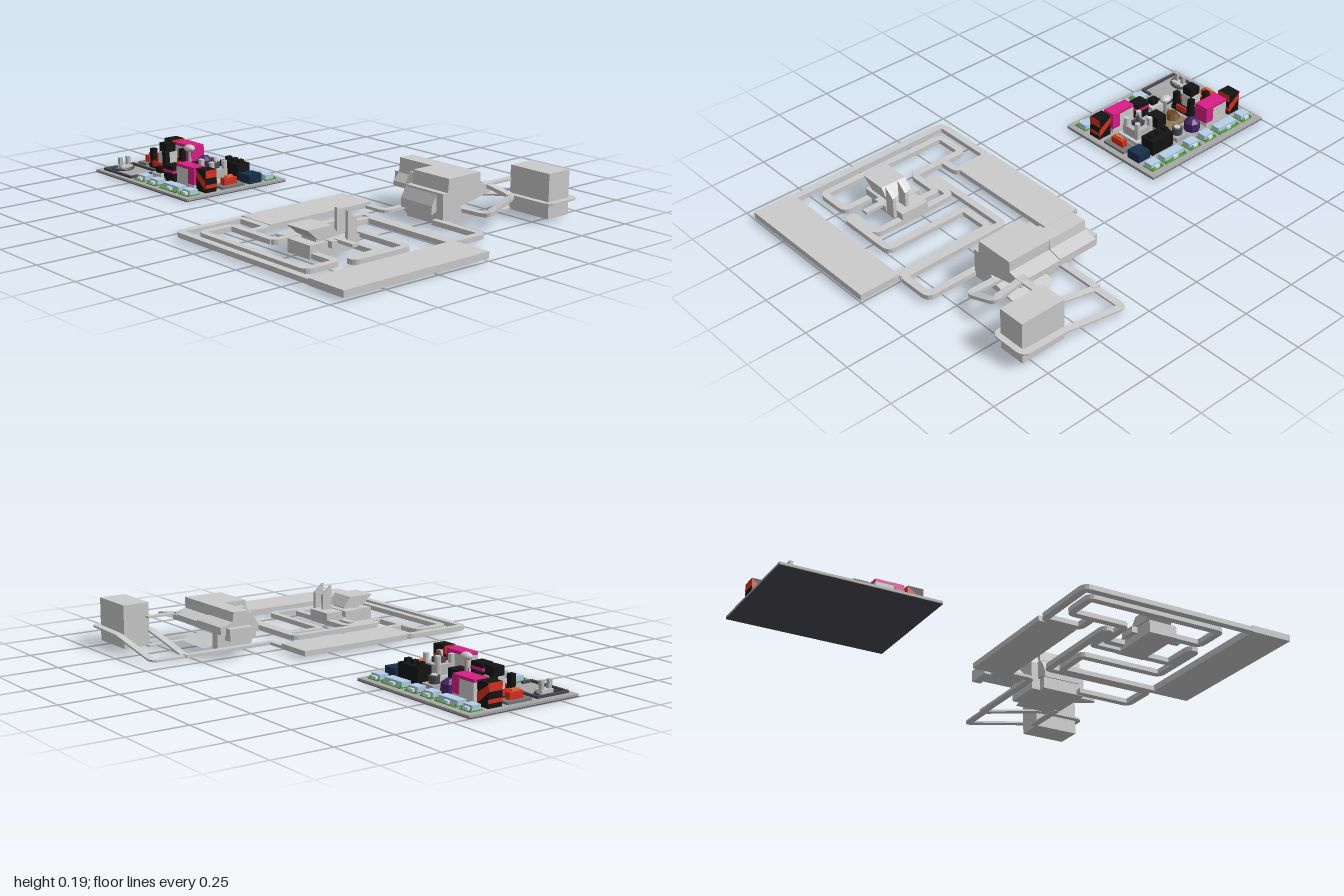
import * as THREE from 'three';

const mats = {};
const mat = (c = 0xcccccc) => (mats[c] ??= new THREE.MeshStandardMaterial({ color: c, flatShading: true, side: THREE.DoubleSide }));
const BLACK = 0x141414, RED = 0xd8301f, PINK = 0xd81f86, PURPLE = 0x4b2468, BLUE = 0xb4d0e8, GREEN = 0x4f9a3a, NAVY = 0x16304a, BROWN = 0x6b431f, DARK = 0x4a4a52;

export function createModel() {
  const model = new THREE.Group();
  const group = (name, parent = model) => {
    const g = new THREE.Group();
    g.name = name;
    parent.add(g);
    return g;
  };
  const add = (parent, name, geo, color) => {
    const m = new THREE.Mesh(geo, mat(color));
    m.name = name;
    parent.add(m);
    return m;
  };
  // box given by its limits
  const box = (p, name, x0, x1, y0, y1, z0, z1, color) => {
    const m = add(p, name, new THREE.BoxGeometry(x1 - x0, y1 - y0, z1 - z0), color);
    m.position.set((x0 + x1) / 2, (y0 + y1) / 2, (z0 + z1) / 2);
    return m;
  };
  const cyl = (p, name, x, y0, y1, z, r0, r1, n, color) => {
    const m = add(p, name, new THREE.CylinderGeometry(r1, r0, y1 - y0, n), color);
    m.position.set(x, (y0 + y1) / 2, z);
    return m;
  };
  // side profile of [z, y] points, extruded from x0 to x1
  const slab = (p, name, x0, x1, pts, color) => {
    const s = new THREE.Shape(pts.map(([z, y]) => new THREE.Vector2(-z, y)));
    const g = new THREE.ExtrudeGeometry(s, { depth: x1 - x0, bevelEnabled: false });
    g.rotateY(Math.PI / 2);
    g.translate(x0, 0, 0);
    return add(p, name, g, color);
  };
  // flat strip along [x, z, y] corners with rounded turns
  const track = (p, name, pts, thick = 0.02, w = 0.03) => {
    const v = pts.map(([x, z, y = 0.012]) => new THREE.Vector3(x, y, z));
    const line = [v[0]];
    for (let i = 1; i < v.length - 1; i++) {
      const towards = (q) => v[i].clone().add(q.clone().sub(v[i]).setLength(Math.min(0.022, q.distanceTo(v[i]) * 0.49)));
      line.push(...new THREE.QuadraticBezierCurve3(towards(v[i - 1]), v[i], towards(v[i + 1])).getPoints(4));
    }
    line.push(v[v.length - 1]);
    const pos = [], idx = [];
    line.forEach((c, i) => {
      const d = line[Math.min(i + 1, line.length - 1)].clone().sub(line[Math.max(i - 1, 0)]).setY(0).normalize();
      for (const [s, h] of [[1, 0], [1, 1], [-1, 1], [-1, 0]]) pos.push(c.x + d.z * s * w / 2, c.y + h * thick, c.z - d.x * s * w / 2);
      if (i) for (let k = 0; k < 4; k++) {
        const a = 4 * i - 4 + k, b = 4 * i - 4 + (k + 1) % 4;
        idx.push(a, b, a + 4, b, b + 4, a + 4);
      }
    });
    const e = pos.length / 3 - 4;
    idx.push(0, 2, 1, 0, 3, 2, e, e + 1, e + 2, e, e + 2, e + 3);
    const g = new THREE.BufferGeometry();
    g.setAttribute('position', new THREE.Float32BufferAttribute(pos, 3));
    g.setIndex(idx);
    g.computeVertexNormals();
    return add(p, name, g);
  };

  // ---- station platforms and tracks
  const net = group('trackNetwork');
  box(net, 'leftPlatform', 0.05, 0.22, 0.012, 0.034, -0.145, 0.37);
  box(net, 'rightPlatform', 0.82, 1, 0.01, 0.037, 0, 0.69);
  track(net, 'outerTrack', [[0.37, 0.475], [0.225, 0.475], [0.225, 0.385], [0.065, 0.385], [0.065, 0.675], [0.82, 0.675]]);
  track(net, 'innerTrack', [[0.46, 0.33], [0.375, 0.33], [0.375, 0.475], [0.125, 0.475], [0.125, 0.615], [0.72, 0.615], [0.72, 0.475], [0.6, 0.475]]);
  track(net, 'upperTrack', [[0.56, -0.16], [0.81, -0.16], [0.81, -0.012], [0.322, -0.012], [0.322, 0.41], [0.352, 0.41], [0.352, 0.275], [0.48, 0.275]]);
  track(net, 'middleTrack', [[0.82, 0.008], [0.375, 0.008], [0.375, 0.16], [0.748, 0.16], [0.748, 0.415], [0.72, 0.415], [0.72, 0.275], [0.6, 0.275]]);
  track(net, 'rearLink', [[0.22, -0.13], [0.315, -0.13], [0.315, -0.54]], 0.012);
  track(net, 'rearRing', [[0.45, -0.535, 0.04], [0.6, -0.535, 0.07], [0.8, -0.535, 0.07], [0.8, -0.68, 0.07], [0.6, -0.68, 0.065],
    [0.32, -0.68, 0.012], [0.32, -0.535, 0.012], [0.45, -0.535, 0.04]], 0.008);
  track(net, 'highTrack', [[0.58, -0.4, 0.128], [0.58, -0.56, 0.128]], 0.008);
  track(net, 'lowTrack', [[0.58, -0.36, 0.01], [0.58, -0.56, 0.01]], 0.006);
  track(net, 'sideLoop', [[0.56, -0.42, 0.125], [0.715, -0.42, 0.1], [0.715, -0.285, 0.05], [0.56, -0.285, 0.045]], 0.015);
  box(net, 'rearBuilding', 0.59, 0.79, 0.01, 0.19, -0.66, -0.545);

  // ---- large terminal with a raised wing
  const term = group('terminal');
  slab(term, 'mainHall', 0.4, 0.595, [[-0.17, 0.01], [-0.4, 0.012], [-0.29, 0.038], [-0.262, 0.07], [-0.43, 0.105], [-0.43, 0.13],
    [-0.37, 0.145], [-0.37, 0.19], [-0.2, 0.19], [-0.195, 0.135], [-0.17, 0.135]]);
  slab(term, 'frontCanopy', 0.39, 0.56, [[-0.17, 0.06], [-0.145, 0.05], [-0.145, 0.085], [-0.175, 0.135], [-0.2, 0.135], [-0.2, 0.06]]);
  slab(term, 'wing', 0.22, 0.4, [[-0.43, 0.105], [-0.43, 0.135], [-0.375, 0.15], [-0.37, 0.19], [-0.3, 0.19], [-0.295, 0.13], [-0.265, 0.1], [-0.265, 0.08], [-0.3, 0.075]]);
  box(term, 'wingEnd', 0.19, 0.23, 0.08, 0.13, -0.405, -0.3);
  slab(term, 'hallShoulder', 0.36, 0.4, [[-0.2, 0.01], [-0.36, 0.01], [-0.36, 0.17], [-0.22, 0.17], [-0.2, 0.13]]);

  // ---- small central station
  const hub = group('centralStation');
  box(hub, 'stationBase', 0.475, 0.6, 0.01, 0.062, 0.26, 0.495);
  box(hub, 'stationDeck', 0.45, 0.62, 0.04, 0.065, 0.34, 0.41);
  slab(hub, 'slantedRoof', 0.482, 0.598, [[0.505, 0.118], [0.39, 0.118], [0.355, 0.075], [0.455, 0.075]]);
  box(hub, 'roofCore', 0.5, 0.58, 0.06, 0.08, 0.37, 0.45);
  box(hub, 'sideArm', 0.6, 0.7, 0.055, 0.068, 0.357, 0.383);
  for (const x of [0.545, 0.605]) slab(hub, 'fin', x, x + 0.015, [[0.333, 0.165], [0.29, 0.128], [0.29, 0.035], [0.333, 0.035]]);

  // ---- city block on its plate
  const city = group('city');
  box(city, 'plate', -1, -0.345, 0.003, 0.012, -0.175, 0.34, 0xa8a8a8);
  box(city, 'plateUnderside', -1, -0.345, 0, 0.003, -0.175, 0.34, DARK);
  const cols = [[-0.97, -0.91], [-0.89, -0.77], [-0.75, -0.685], [-0.66, -0.595], [-0.57, -0.45], [-0.435, -0.37]];
  const rows = [[-0.147, -0.09], [-0.065, 0], [0.025, 0.14], [0.17, 0.225], [0.255, 0.318]];
  const y0 = 0.012;
  const lot = (name, c, r, h, color, inset = 0) =>
    box(city, name, cols[c][0] + inset, cols[c][1] - inset, y0, h, rows[r][0] + inset, rows[r][1] - inset, color);

  // low houses with lawns, front and back rows
  for (const r of [0, 4]) cols.forEach(([a, b], c) => {
    if (r === 4 && c < 2) return;
    const [z0, z1] = rows[r], s = r ? 1 : -1, zm = (z0 + z1) / 2;
    lot('lawn', c, r, 0.015, GREEN);
    box(city, 'house', a + 0.006, b - 0.006, y0, 0.034, Math.min(zm + s * 0.014, zm - s * 0.026), Math.max(zm + s * 0.014, zm - s * 0.026), BLUE);
    box(city, 'housePorch', (a + b) / 2 - 0.012, (a + b) / 2 + 0.012, y0, 0.026, z0 + 0.003, z1 - 0.003, 0xd5e2ee);
    for (const x of [a + 0.006, b - 0.006]) cyl(city, 'shrub', x, y0, 0.024, zm + s * 0.021, 0.006, 0.002, 6, GREEN);
  });

  // striped towers
  for (const [c, r] of [[0, 1], [5, 3]]) {
    const [a, b] = cols[c], [z0, z1] = rows[r];
    lot('stripedTower', c, r, 0.105, BLACK);
    for (const z of [z0 - 0.001, z1 + 0.001]) {
      const s = new THREE.Shape([[a, 0.1], [a, 0.07], [b, 0.02], [b, 0.06]].map((q) => new THREE.Vector2(...q)));
      add(city, 'diagonalStripe', new THREE.ShapeGeometry(s), RED).position.z = z;
    }
    for (const x of [a, b]) {
      box(city, 'sideStripe', x - 0.001, x + 0.001, 0.073, 0.105, z0, z1, RED);
      box(city, 'sideStripe', x - 0.001, x + 0.001, 0.03, 0.045, z0, z1, RED);
    }
  }
  // pink-roofed blocks
  for (const [c, r] of [[1, 1], [4, 3]]) {
    lot('pinkBlock', c, r, 0.09, 0xbcbcbc);
    box(city, 'pinkRoof', ...cols[c], 0.09, 0.102, ...rows[r], PINK);
    box(city, 'pinkSide', cols[c][0] + 0.08, cols[c][1] + 0.001, 0.03, 0.09, rows[r][0] - 0.001, rows[r][1] + 0.001, PINK);
  }
  // dark blocks
  lot('darkBlock', 4, 1, 0.08, BLACK);
  for (const x of [-0.55, -0.51, -0.47]) box(city, 'roofVent', x - 0.01, x + 0.01, 0.08, 0.095, -0.045, -0.02, BLACK);
  lot('navyBlock', 5, 1, 0.05, NAVY);
  lot('blackShop', 3, 3, 0.08, BLACK);
  box(city, 'shopBand', -0.662, -0.593, 0.05, 0.062, 0.168, 0.227, PINK);
  lot('kioskBase', 2, 3, 0.03, 0xd0d0d0);
  box(city, 'kioskTop', -0.735, -0.7, 0.03, 0.055, 0.185, 0.215, BLACK);
  // octagonal hall and round tank
  cyl(city, 'octagonHall', -0.717, y0, 0.05, -0.033, 0.034, 0.034, 8, PURPLE);
  cyl(city, 'octagonRoof', -0.717, 0.05, 0.066, -0.033, 0.034, 0.014, 8, PURPLE);
  lot('tankBase', 3, 1, 0.03, 0xb0b0b0);
  cyl(city, 'tank', -0.628, 0.03, 0.06, -0.033, 0.022, 0.022, 12, DARK);
  cyl(city, 'tankLid', -0.628, 0.06, 0.064, -0.033, 0.014, 0.014, 12, 0xc0c0c0);
  // low red yards at both ends
  for (const c of [0, 5]) {
    const m = (cols[c][0] + cols[c][1]) / 2;
    lot('yard', c, 2, 0.022, 0x777777);
    box(city, 'redShed', m - 0.013, m + 0.013, 0.022, 0.05, 0.05, 0.115, RED);
    box(city, 'shedCap', m - 0.007, m + 0.007, 0.05, 0.06, 0.065, 0.1, 0xe86a3a);
  }
  // four-post tower
  lot('towerBase', 1, 2, 0.03, BLACK);
  box(city, 'towerCore', -0.858, -0.802, 0.03, 0.085, 0.055, 0.11, 0xc4c4c4);
  box(city, 'towerCap', -0.855, -0.805, 0.085, 0.122, 0.06, 0.108, BLACK);
  for (const x of [-0.875, -0.785]) for (const z of [0.04, 0.125]) box(city, 'towerPost', x - 0.012, x + 0.012, y0, 0.095, z - 0.011, z + 0.011, BLACK);
  for (const z of [0.026, 0.138]) box(city, 'redTrim', -0.862, -0.798, 0.02, 0.045, z - 0.004, z + 0.004, RED);
  for (const x of [-0.888, -0.772]) box(city, 'redTrim', x - 0.004, x + 0.004, 0.02, 0.045, 0.055, 0.11, RED);
  // park with the dish tower
  box(city, 'park', -0.75, -0.595, y0, 0.018, 0.025, 0.14, 0x8d7a58);
  cyl(city, 'mound', -0.715, 0.018, 0.04, 0.083, 0.036, 0.022, 9, BROWN);
  box(city, 'parkHall', -0.65, -0.6, y0, 0.07, 0.055, 0.115, BLACK);
  cyl(city, 'dishStem', -0.672, 0.018, 0.12, 0.083, 0.007, 0.007, 10, 0xaaaaaa);
  add(city, 'dish', new THREE.SphereGeometry(0.028, 16, 8).scale(1, 0.55, 0.75), 0xc8c8c8).position.set(-0.672, 0.125, 0.083);
  // fortress with corner turrets
  lot('fortBase', 4, 2, 0.03, 0xc8c8c8);
  box(city, 'fortWall', -0.555, -0.465, 0.03, 0.07, 0.04, 0.125, 0xb8b8b8);
  box(city, 'fortCore', -0.53, -0.49, 0.07, 0.09, 0.063, 0.102, DARK);
  for (const x of [-0.545, -0.475]) for (const z of [0.05, 0.115]) cyl(city, 'turret', x, 0.03, 0.105, z, 0.012, 0.012, 8, 0xd0d0d0);
  cyl(city, 'fortSpire', -0.51, 0.09, 0.115, 0.083, 0.012, 0.004, 8, DARK);
  // plaza with low walls and an arc
  for (const z of [0.172, 0.316]) box(city, 'plazaWall', -0.97, -0.77, y0, 0.022, z - 0.005, z + 0.005, DARK);
  box(city, 'plazaWall', -0.97, -0.96, y0, 0.022, 0.172, 0.316, DARK);
  for (const z of [0.195, 0.293]) box(city, 'plazaEnd', -0.778, -0.768, y0, 0.022, z - 0.025, z + 0.025, DARK);
  const arc = add(city, 'plazaArc', new THREE.TorusGeometry(0.048, 0.006, 6, 16, Math.PI), DARK);
  arc.rotation.set(-Math.PI / 2, 0, -Math.PI / 2);
  arc.position.set(-0.945, 0.016, 0.243);
  for (const z of [0.225, 0.262]) box(city, 'plazaPillar', -0.935, -0.92, y0, 0.065, z - 0.008, z + 0.008, 0xb8b8b8);
  box(city, 'plazaPlinth', -0.94, -0.905, y0, 0.03, 0.215, 0.272, 0xc4c4c4);
  return model;
}
